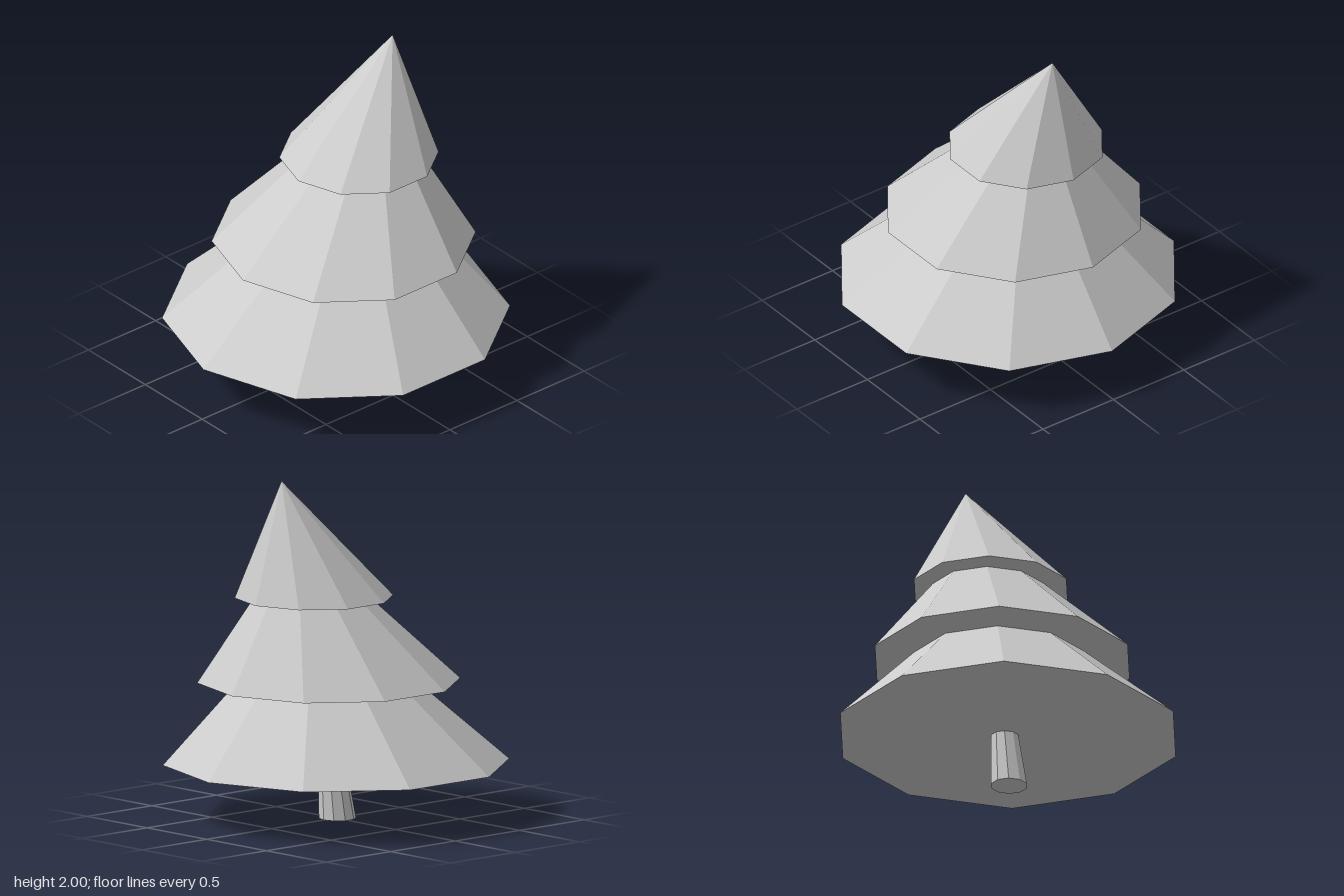
import * as THREE from 'three';

const SIDES = 10;
const DEPTH = 1.012; // rings are a touch deeper than wide

// Leaning ten-sided frustum between two rings { x, y, r }; r = 0 on top makes a point
function leaningFrustum(bottom, top) {
  const geometry = new THREE.CylinderGeometry(top.r > 0 ? 1 : 0, 1, 1, SIDES, 1, false, Math.PI / 2);
  const p = geometry.attributes.position;
  for (let i = 0; i < p.count; i++) {
    const ring = p.getY(i) > 0 ? top : bottom;
    p.setXYZ(i, ring.x + p.getX(i) * ring.r, ring.y, p.getZ(i) * ring.r * DEPTH);
  }
  const flat = geometry.toNonIndexed();
  flat.computeVertexNormals();
  return flat;
}

export function createModel() {
  const tree = new THREE.Group();
  tree.name = 'leaningTree';

  const grey = new THREE.MeshStandardMaterial({ color: 0xcccccc });
  grey.name = 'lightGrey';
  grey.flatShading = true;

  // Trunk, then foliage tiers from the ground up, drifting towards +x
  const parts = [
    ['trunk', { x: -0.013, y: 0, r: 0.106 }, { x: 0.03, y: 0.33, r: 0.08 }],
    ['lowerBranches', { x: -0.002, y: 0.325, r: 0.988 }, { x: 0.08, y: 0.806, r: 0.503 }],
    ['middleBranches', { x: 0.055, y: 0.803, r: 0.75 }, { x: 0.193, y: 1.304, r: 0.326 }],
    ['topBranches', { x: 0.169, y: 1.302, r: 0.452 }, { x: 0.42, y: 2, r: 0 }],
  ];
  for (const [name, bottom, top] of parts) {
    const mesh = new THREE.Mesh(leaningFrustum(bottom, top), grey);
    mesh.name = name;
    tree.add(mesh);
  }
  return tree;
}
